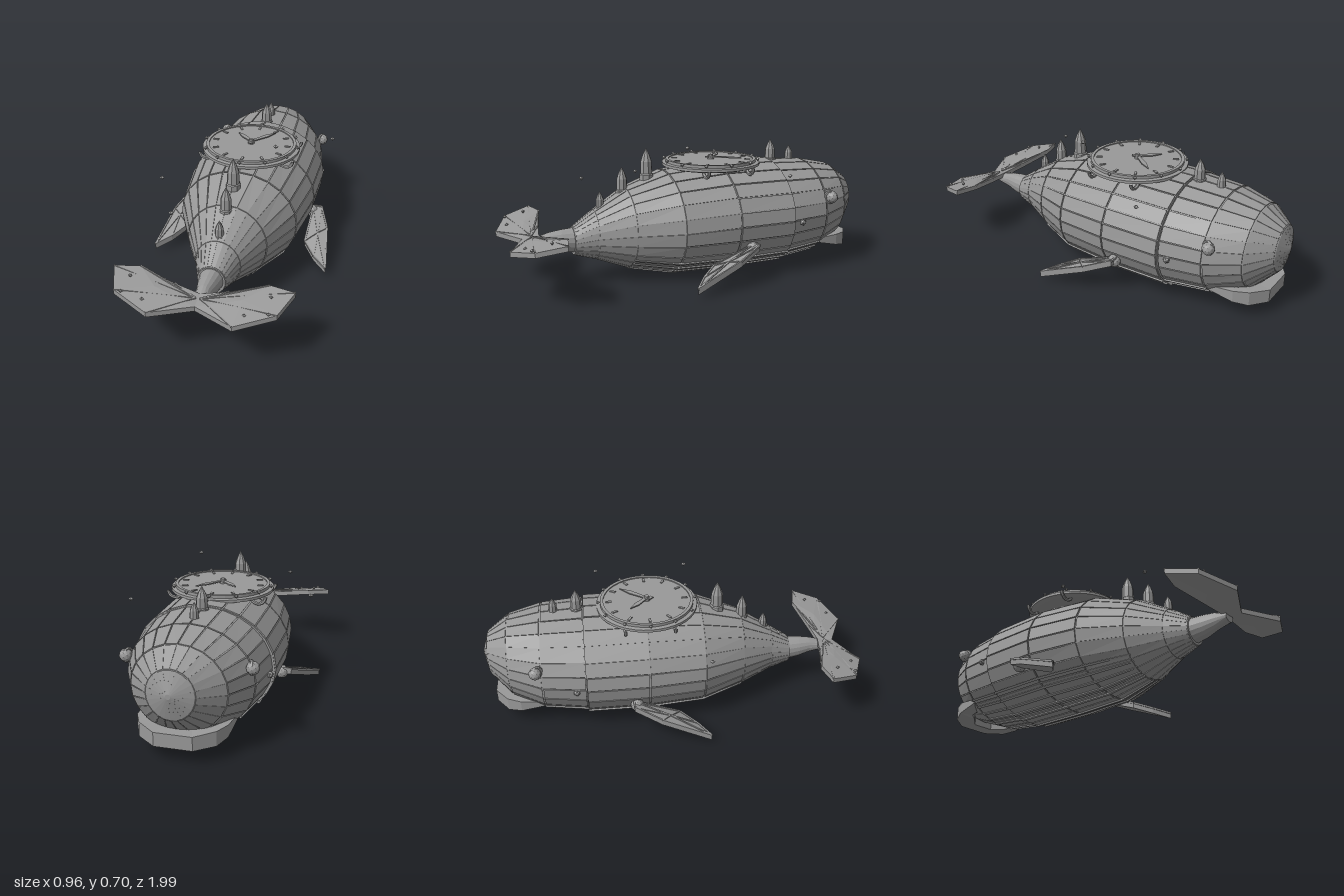
import * as THREE from 'three';
import { mergeGeometries } from 'three/addons/utils/BufferGeometryUtils.js';

const V = (x, y, z) => new THREE.Vector3(x, y, z);
const steel = new THREE.MeshStandardMaterial({ color: 0x999999 });
steel.name = 'steel grey';

// Hull stations: z, half width, bottom y, top y
const STATIONS = [
  [-1, 0.012, 0.325, 0.35], [-0.97, 0.11, 0.215, 0.45], [-0.86, 0.225, 0.1, 0.525],
  [-0.69, 0.308, 0.035, 0.56], [-0.47, 0.338, 0.012, 0.572], [-0.47, 0.353, 0.005, 0.58],
  [-0.15, 0.353, 0.003, 0.582], [0.14, 0.313, 0.008, 0.555], [0.36, 0.205, 0.052, 0.48],
  [0.53, 0.113, 0.118, 0.375], [0.64, 0.07, 0.152, 0.3],
];
const SIDES = 24;

// Point on the elliptical section of a station; angle runs from the top towards +x
function onHull([z, rx, lo, hi], t, s = 1) {
  return V(rx * s * Math.sin(t), (lo + hi) / 2 + (hi - lo) / 2 * s * Math.cos(t), z);
}

function fromTriangles(points) {
  const g = new THREE.BufferGeometry().setFromPoints(points);
  g.computeVertexNormals();
  return g;
}

const quad = (out, a, b, c, d) => out.push(a, b, c, a, c, d);

// Flat-faced skin over closed sections, capped at both ends
function loft(rings) {
  const out = [], n = rings[0].length, last = rings[rings.length - 1];
  for (let i = 0; i + 1 < rings.length; i++)
    for (let k = 0; k < n; k++) {
      const m = (k + 1) % n;
      quad(out, rings[i][k], rings[i + 1][k], rings[i + 1][m], rings[i][m]);
    }
  for (let k = 1; k + 1 < n; k++) {
    out.push(rings[0][0], rings[0][k], rings[0][k + 1]);
    out.push(last[0], last[k + 1], last[k]);
  }
  return fromTriangles(out);
}

const ellipse = (st, s, n = SIDES) =>
  Array.from({ length: n }, (_, k) => onHull(st, k / n * Math.PI * 2, s));

// Separate armour plates with narrow seams between them
function platesGeometry() {
  const out = [], step = Math.PI * 2 / SIDES;
  for (let i = 0; i + 1 < STATIONS.length; i++) {
    const s0 = STATIONS[i], s1 = STATIONS[i + 1], len = s1[0] - s0[0];
    if (len < 0.01) continue;
    const e = 0.004 / len;
    const near = s0.map((v, j) => v + (s1[j] - v) * e);
    const far = s0.map((v, j) => v + (s1[j] - v) * (1 - e));
    for (let k = 0; k < SIDES; k++) {
      const t0 = (k + 0.04) * step, t1 = (k + 0.96) * step;
      const corners = (s) => [onHull(near, t0, s), onHull(far, t0, s), onHull(far, t1, s), onHull(near, t1, s)];
      const o = corners(1), u = corners(0.975);
      quad(out, ...o);
      for (let j = 0; j < 4; j++) {
        const m = (j + 1) % 4;
        quad(out, o[j], u[j], u[m], o[m]);
      }
    }
  }
  return fromTriangles(out);
}

// Thin faceted blade: outline fanned to a slightly raised centre
function blade(outline, thick, rise) {
  const out = [], n = outline.length;
  const mid = outline.reduce((a, p) => a.add(p), V(0, 0, 0)).divideScalar(n);
  const top = mid.clone().add(V(0, rise, 0));
  const low = (p) => p.clone().add(V(0, -thick, 0));
  outline.forEach((a, i) => {
    const b = outline[(i + 1) % n];
    out.push(top, b, a, low(mid), low(a), low(b));
    quad(out, a, b, low(b), low(a));
  });
  return { geo: fromTriangles(out), top };
}

function bar(a, b, w, h) {
  const g = new THREE.BoxGeometry(w, h, a.distanceTo(b));
  const o = new THREE.Object3D();
  o.position.copy(a).lerp(b, 0.5);
  o.lookAt(o.position.clone().add(b).sub(a));
  o.updateMatrix();
  return g.applyMatrix4(o.matrix);
}

export function createModel() {
  const model = new THREE.Group();
  model.name = 'clockworkWhale';
  const add = (name, geo, pos = V(0, 0, 0), parent = model) => {
    const flat = geo.index ? geo.toNonIndexed() : geo;
    flat.computeVertexNormals();
    const m = new THREE.Mesh(flat, steel);
    m.name = name;
    m.position.copy(pos);
    parent.add(m);
    return m;
  };
  const stud = (name, x, y, z, r, parent) => add(name, new THREE.OctahedronGeometry(r), V(x, y, z), parent);

  // Hull, plating and tail stalk
  add('innerHull', loft(STATIONS.map((s) => ellipse(s, 0.982))));
  add('hullPlates', platesGeometry());
  add('tailStalk', loft([[0.62, 0.062, 0.162, 0.295], [0.7, 0.05, 0.175, 0.29], [0.76, 0.037, 0.195, 0.282],
    [0.83, 0.032, 0.212, 0.262]].map((s) => ellipse(s, 1, 16))));

  // Raised belly strakes
  const strakes = [];
  for (const deg of [10, 20, 30, 40, 50])
    for (const side of [-1, 1]) {
      const t = Math.PI + side * deg * Math.PI / 180, d = 0.022;
      strakes.push(loft(STATIONS.slice(3, 9).map((s) => [
        onHull(s, t - d, 1.02), onHull(s, t + d, 1.02), onHull(s, t + d, 0.96), onHull(s, t - d, 0.96)])));
    }
  add('bellyStrakes', mergeGeometries(strakes));

  // Jaw: a band around the front, run from +x to -x (x, z, bottom, top, inward direction)
  const half = [[0.225, -0.68, 0.122, 0.142], [0.215, -0.82, 0.09, 0.15], [0.18, -0.89, 0.076, 0.148], [0.09, -0.955, 0.072, 0.14]];
  const path = [...half, ...half.slice().reverse().map(([x, ...r]) => [-x, ...r])];
  add('jaw', loft(path.map(([x, z, lo, hi]) => {
    const ix = x * 0.68, iz = z + 0.085 * (Math.abs(x) < 0.2 ? 1 : 0.3);
    return [V(x, hi, z), V(ix, hi, iz), V(ix, lo, iz), V(x, lo, z)];
  })));

  // Parts on each side
  for (const s of [1, -1]) {
    const side = new THREE.Group();
    side.name = s > 0 ? 'leftSide' : 'rightSide';
    side.scale.x = s;
    model.add(side);

    add('eye', new THREE.IcosahedronGeometry(0.032, 1), V(0.3, 0.39, -0.72), side);
    const lid = add('eyeRing', new THREE.TorusGeometry(0.03, 0.008, 6, 12), V(0.292, 0.39, -0.715), side);
    lid.rotation.y = 1.2;
    add('sideBolt', new THREE.IcosahedronGeometry(0.018, 0), V(0.335, 0.28, -0.52), side);

    // Pectoral fin sloping down and back
    const fin = [[0.34, -0.235], [0.385, -0.235], [0.44, -0.1], [0.475, 0.15], [0.4, 0.085], [0.335, 0]]
      .map(([x, z]) => V(x, 0.198 - 0.39 * (z + 0.23), z));
    const f = blade(fin, 0.03, 0.008);
    add('fin', f.geo, undefined, side);
    add('finRibs', mergeGeometries(fin.map((p) => bar(f.top, p, 0.008, 0.008))), undefined, side);
    add('finEdge', mergeGeometries(fin.map((p, i) => bar(p, fin[(i + 1) % fin.length], 0.009, 0.01))), undefined, side);
    add('finJoint', new THREE.IcosahedronGeometry(0.034, 1), V(0.335, 0.175, -0.22), side);

    // Tail fluke
    const fluke = [V(0, 0.272, 0.81), V(0.13, 0.29, 0.785), V(0.31, 0.325, 0.74), V(0.43, 0.328, 0.77),
      V(0.377, 0.298, 0.91), V(0.196, 0.262, 0.99), V(0, 0.262, 0.895)];
    const k = blade(fluke, 0.025, 0.008);
    add('fluke', k.geo, undefined, side);
    add('flukeRibs', mergeGeometries([1, 2, 3, 4, 5].map((i) => bar(V(0.01, 0.272, 0.845), fluke[i], 0.007, 0.007))), undefined, side);
    for (const [x, y, z] of [[0.33, 0.322, 0.82], [0.235, 0.282, 0.925], [0.34, 0.3, 0.915]])
      stud('flukeBolt', x, y, z, 0.01, side);

    // Carrying loops under the clock rim
    for (const z of [-0.26, -0.01]) {
      const loop = add('clockLoop', new THREE.TorusGeometry(0.037, 0.009, 6, 10, Math.PI), V(0.215, 0.575, z), side);
      loop.rotation.z = Math.PI;
    }
  }

  // Pointed turrets along the back: z, base y, tip y, radius
  for (const [z, y0, y1, r] of [[0.49, 0.375, 0.47, 0.026], [0.37, 0.45, 0.588, 0.034], [0.235, 0.52, 0.678, 0.038],
    [-0.5, 0.56, 0.68, 0.034], [-0.62, 0.55, 0.64, 0.026]]) {
    const h = y1 - y0;
    const profile = [[0, -0.03], [r, -0.03], [r, h * 0.12], [r * 0.85, h * 0.15], [r * 0.8, h * 0.55], [r * 0.5, h * 0.76], [0, h]]
      .map(([x, y]) => new THREE.Vector2(x, y));
    add('turret', new THREE.LatheGeometry(profile, 8), V(0, y0, z));
  }

  // Clock on the back
  const clock = new THREE.Group();
  clock.name = 'clock';
  clock.position.set(0, 0, -0.135);
  model.add(clock);
  const dial = [[0, 0.54], [0.235, 0.56], [0.262, 0.568], [0.262, 0.582], [0.242, 0.585], [0.242, 0.6],
    [0.226, 0.6], [0.226, 0.594], [0, 0.594]].map(([x, y]) => new THREE.Vector2(x, y));
  add('clockDial', new THREE.LatheGeometry(dial, 40), undefined, clock);
  for (let i = 0; i < 12; i++) {
    const a = i * Math.PI / 6, x = Math.sin(a), z = -Math.cos(a);
    stud('rimBolt', x * 0.253, 0.597, z * 0.253, 0.011, clock);
    const mark = add('hourMark', new THREE.BoxGeometry(0.012, 0.006, 0.03), V(x * 0.197, 0.596, z * 0.197), clock);
    mark.rotation.y = -a;
  }
  for (const [angle, len] of [[-0.8, 0.13], [0.67, 0.17], [3.1, 0.035]]) {
    const hand = new THREE.Shape([[-0.006, -0.02], [0.006, -0.02], [0.013, len * 0.6], [0, len], [-0.013, len * 0.6]]
      .map(([x, y]) => new THREE.Vector2(x, y)));
    const g = new THREE.ExtrudeGeometry(hand, { depth: 0.006, bevelEnabled: false });
    g.rotateX(-Math.PI / 2).rotateY(-angle);
    add('clockHand', g, V(0, 0.603, 0), clock);
  }
  add('handPivot', new THREE.CylinderGeometry(0.012, 0.018, 0.026, 10), V(0, 0.606, 0), clock);

  // Floating sparks
  for (const [x, y, z] of [[0.18, 0.692, 0.08], [0.403, 0.552, -0.39], [-0.412, 0.475, 0.15], [-0.23, 0.497, 0.52]])
    stud('spark', x, y, z, 0.014).scale.y = 0.8;

  return model;
}
